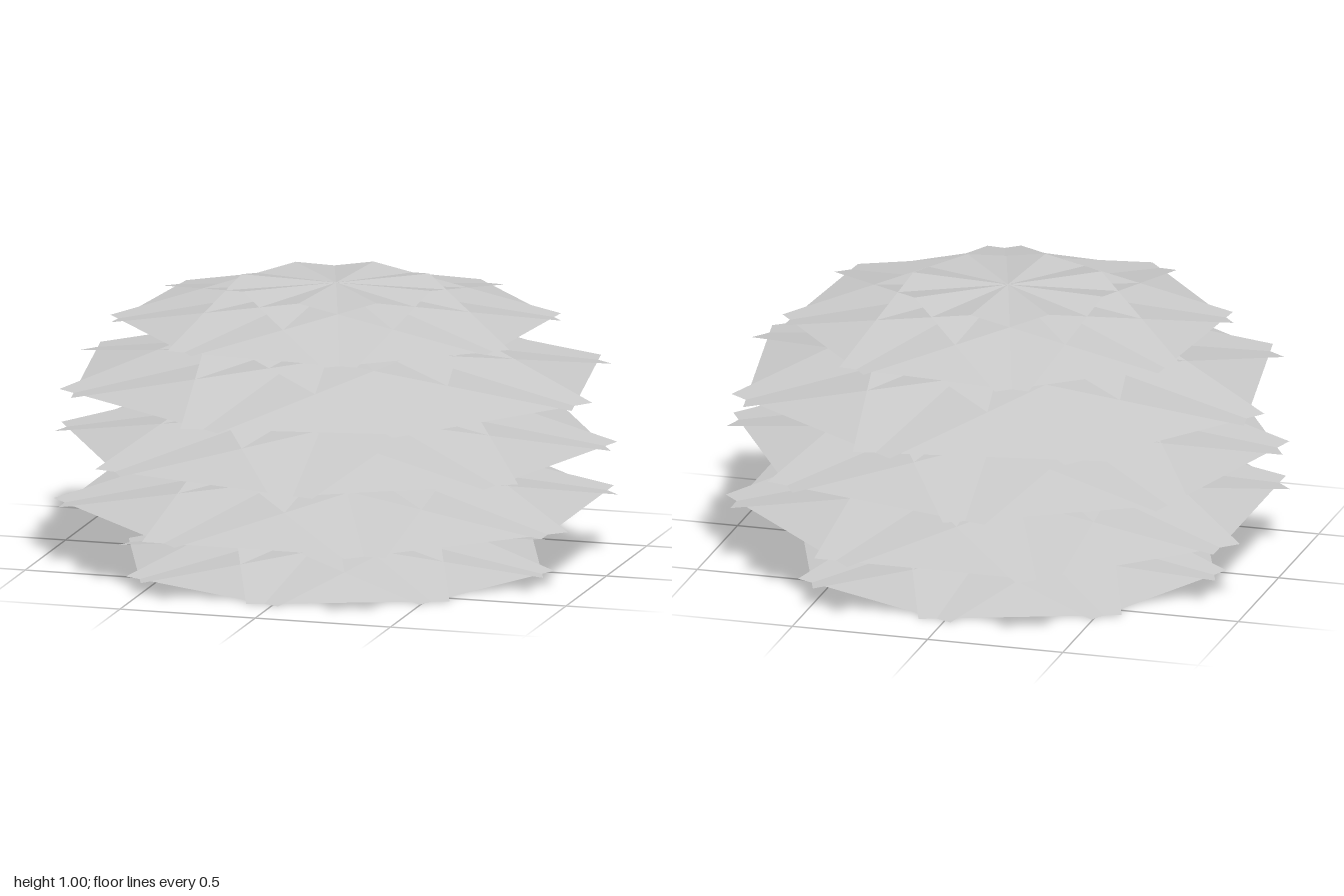
import * as THREE from 'three';

const HALF_WIDTH = 0.451, HALF_LENGTH = 0.893, RISE = 0.16;

// One sheet folded across its middle: a level ridge with two slopes running down in z
function foldedSheet() {
  const geometry = new THREE.PlaneGeometry(2 * HALF_WIDTH, 2 * HALF_LENGTH, 1, 2);
  geometry.rotateX(-Math.PI / 2);
  const p = geometry.attributes.position;
  for (let i = 0; i < p.count; i++) {
    p.setY(i, RISE * (1 - Math.abs(p.getZ(i)) / HALF_LENGTH));
  }
  const flat = geometry.toNonIndexed();
  flat.computeVertexNormals();
  return flat;
}

export function createModel() {
  const model = new THREE.Group();
  model.name = 'layeredStack';
  const material = new THREE.MeshStandardMaterial({
    color: 0xcccccc, flatShading: true, side: THREE.DoubleSide,
  });
  const sheet = foldedSheet();

  // Base height, scale and turn of each layer, from the bottom up
  const layers = [
    { y: 0, scale: 0.8, turn: -25 },
    { y: 0.224, scale: 1, turn: 0 },
    { y: 0.442, scale: 1, turn: 30 },
    { y: 0.66, scale: 1, turn: 55 },
    { y: 0.873, scale: 0.8, turn: 85 },
  ];

  layers.forEach(({ y, scale, turn }, n) => {
    const layer = new THREE.Group();
    layer.name = `layer${n + 1}`;
    // Four sheets crossing at the centre, 45 degrees apart
    for (let i = 0; i < 4; i++) {
      const mesh = new THREE.Mesh(sheet, material);
      mesh.name = `foldedSheet${i + 1}`;
      mesh.rotation.y = (i * Math.PI) / 4;
      layer.add(mesh);
    }
    layer.position.y = y;
    layer.scale.setScalar(scale);
    layer.rotation.y = THREE.MathUtils.degToRad(turn);
    model.add(layer);
  });
  return model;
}
